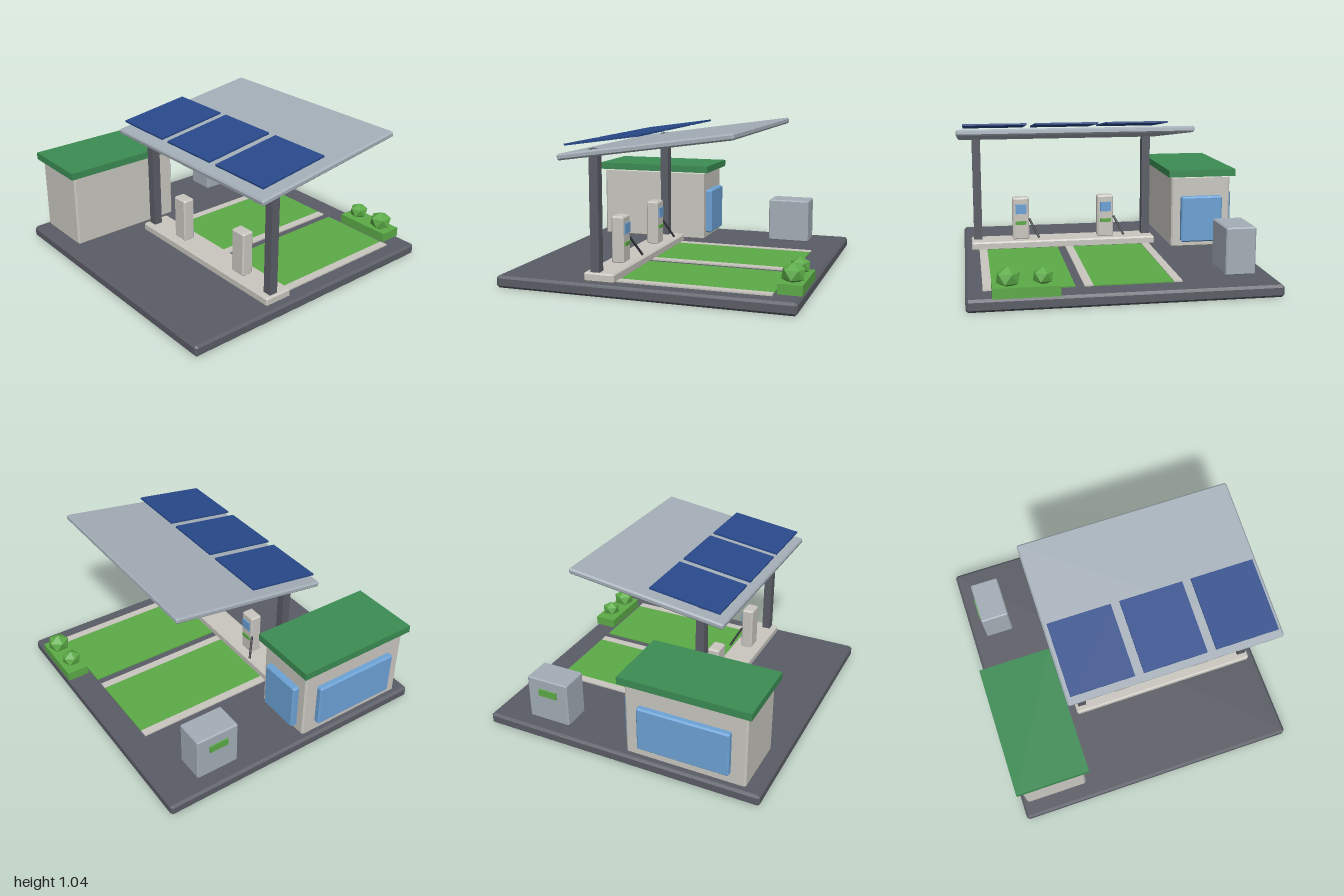
import * as THREE from 'three';
import { ConvexGeometry } from 'three/addons/geometries/ConvexGeometry.js';

const mat = (name, color) => {
  const m = new THREE.MeshStandardMaterial({ color });
  m.name = name;
  return m;
};

export function createModel() {
  const asphalt = mat('asphalt', 0x5b5d66);
  const concrete = mat('concrete', 0xcac7c0);
  const metal = mat('pale metal', 0xa4aeb7);
  const solar = mat('solar blue', 0x28498a);
  const grass = mat('leaf green', 0x5cab47);
  const roofGreen = mat('roof green', 0x3b8c53);
  const glass = mat('glass blue', 0x6ca2d6);
  const rubber = mat('dark rubber', 0x2f3238);

  const model = new THREE.Group();
  model.name = 'solarFillingStation';

  const add = (name, geometry, material) => {
    const mesh = new THREE.Mesh(geometry, material);
    mesh.name = name;
    model.add(mesh);
    return mesh;
  };

  // Box with chamfered edges of size b, as the hull of 24 points
  const chamferBox = (w, h, d, b) => {
    const pts = [];
    for (const x of [-1, 1]) for (const y of [-1, 1]) for (const z of [-1, 1]) {
      for (let k = 0; k < 3; k++) {
        pts.push(new THREE.Vector3(
          x * (w / 2 - (k === 0 ? 0 : b)),
          y * (h / 2 - (k === 1 ? 0 : b)),
          z * (d / 2 - (k === 2 ? 0 : b))));
      }
    }
    return new ConvexGeometry(pts);
  };

  // Block between two limits on each axis, optionally chamfered
  const block = (name, [x0, x1], [y0, y1], [z0, z1], material, bevel = 0) => {
    const s = [x1 - x0, y1 - y0, z1 - z0];
    const g = bevel ? chamferBox(...s, bevel) : new THREE.BoxGeometry(...s);
    const mesh = add(name, g, material);
    mesh.position.set((x0 + x1) / 2, (y0 + y1) / 2, (z0 + z1) / 2);
    return mesh;
  };

  // Ground slab
  block('groundSlab', [-0.998, 0.97], [0, 0.08], [-0.985, 0.985], asphalt, 0.016);

  // Shop with overhanging roof, side window and rear door
  block('shopWalls', [-0.96, -0.525], [0.08, 0.605], [0.058, 0.88], concrete, 0.012);
  block('shopRoof', [-0.99, -0.495], [0.605, 0.655], [0.022, 0.912], roofGreen);
  block('shopWindow', [-1, -0.95], [0.16, 0.47], [0.155, 0.78], glass, 0.01);
  block('shopDoor', [-0.893, -0.59], [0.125, 0.46], [0.014, 0.07], glass, 0.01);

  // Pump island
  block('pumpIsland', [-0.428, 0.917], [0.08, 0.14], [0.18, 0.385], concrete, 0.01);

  // Canopy columns
  for (const x of [-0.378, 0.869]) {
    block('canopyColumn', [x - 0.03, x + 0.03], [0.13, 0.917], [0.283, 0.343], asphalt);
  }

  // Tilted canopy and the solar panels floating over its front
  const tilt = THREE.MathUtils.degToRad(8);
  const canopy = add('canopy', chamferBox(1.5, 0.04, 1.13, 0.01), metal);
  canopy.position.set(0.25, 0.945, -0.048);
  canopy.rotation.x = tilt;
  for (let i = 0; i < 3; i++) {
    const panel = add('solarPanel', new THREE.BoxGeometry(0.437, 0.012, 0.5), solar);
    panel.position.set(-0.252 + i * 0.497, 0.977, 0.23);
    panel.rotation.x = tilt;
  }

  // Pumps with rear screen, label strip and hanging hose
  for (const x of [-0.067, 0.558]) {
    block('pumpBody', [x - 0.06, x + 0.06], [0.135, 0.448], [0.24, 0.325], concrete, 0.01);
    block('pumpScreen', [x - 0.04, x + 0.04], [0.33, 0.4], [0.23, 0.2395], glass);
    block('pumpLabel', [x - 0.04, x + 0.04], [0.25, 0.275], [0.23, 0.2395], grass);
    const path = new THREE.LineCurve3(
      new THREE.Vector3(x - 0.06, 0.293, 0.245),
      new THREE.Vector3(x - 0.126, 0.162, 0.18));
    const top = path.v1, end = path.v2;
    const hose = add('pumpHose',
      new THREE.CylinderGeometry(0.008, 0.008, path.getLength(), 8), rubber);
    hose.position.copy(path.getPoint(0.5));
    hose.quaternion.setFromUnitVectors(
      new THREE.Vector3(0, 1, 0), top.clone().sub(end).normalize());
  }

  // Lawns and kerb strips behind the island
  const lawnZ = [-0.812, 0.19];
  for (const x of [-0.07, 0.553]) {
    block('lawn', [x - 0.256, x + 0.256], [0.07, 0.088], lawnZ, grass);
  }
  for (const x of [-0.356, 0.213, 0.836]) {
    block('kerbStrip', [x - 0.028, x + 0.028], [0.07, 0.09], lawnZ, concrete);
  }

  // Planter with two faceted bushes
  block('planter', [0.405, 0.813], [0.08, 0.145], [-0.985, -0.83], grass);
  for (const [x, r] of [[0.505, 0.069], [0.715, 0.081]]) {
    const g = new THREE.IcosahedronGeometry(r, 0);
    g.rotateZ(Math.atan(2 / (1 + Math.sqrt(5)))); // one vertex points up
    g.scale(1, 0.83, 1);
    g.computeVertexNormals();
    const bush = add('bush', g, grass);
    bush.position.set(x, 0.19, -0.907);
  }

  // Utility cabinet with a side label
  block('utilityCabinet', [-0.893, -0.692], [0.08, 0.395], [-0.725, -0.42], metal, 0.008);
  block('cabinetLabel', [-0.902, -0.893], [0.27, 0.32], [-0.637, -0.5], grass);

  return model;
}
